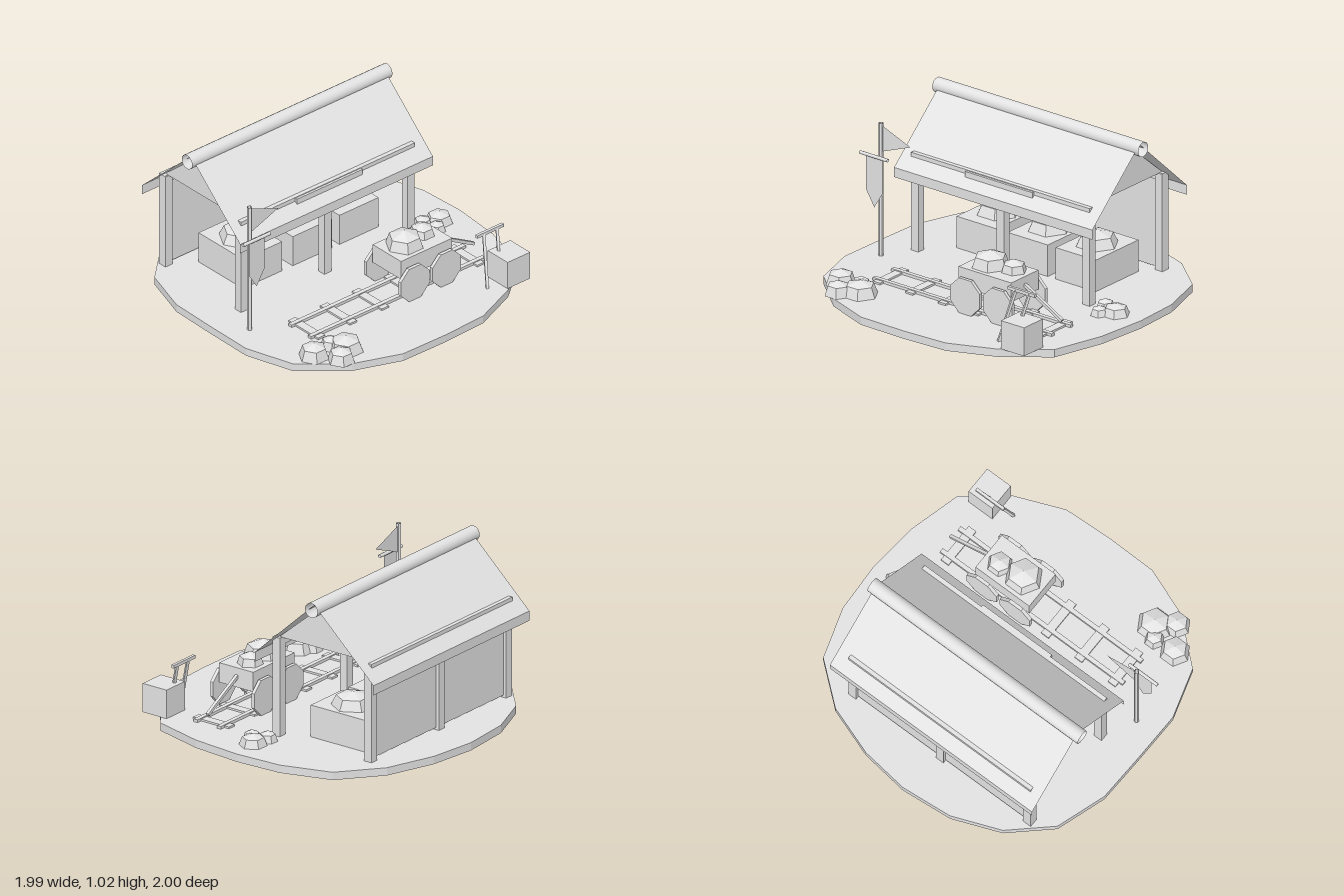
import * as THREE from 'three';

export function createModel() {
  const model = new THREE.Group();
  model.name = 'minersShed';
  const grey = new THREE.MeshStandardMaterial({ color: 0xe3e3e3, side: THREE.DoubleSide });
  grey.name = 'pale grey';

  const add = (name, geometry, x = 0, y = 0, z = 0) => {
    const mesh = new THREE.Mesh(geometry, grey);
    mesh.name = name;
    mesh.position.set(x, y, z);
    model.add(mesh);
    return mesh;
  };
  // Box given by its limits on each axis
  const box = (name, x0, x1, y0, y1, z0, z1) =>
    add(name, new THREE.BoxGeometry(x1 - x0, y1 - y0, z1 - z0),
      (x0 + x1) / 2, (y0 + y1) / 2, (z0 + z1) / 2);
  // Square bar between two points
  const bar = (name, a, b, size) => {
    const from = new THREE.Vector3(...a), to = new THREE.Vector3(...b);
    const mesh = add(name, new THREE.BoxGeometry(size, size, from.distanceTo(to)));
    mesh.position.copy(from).add(to).multiplyScalar(0.5);
    mesh.lookAt(to);
  };
  const outline = (points) => new THREE.Shape(points.map(([x, y]) => new THREE.Vector2(x, y)));
  const faceted = (geometry) => {
    const flat = geometry.toNonIndexed();
    flat.computeVertexNormals();
    return flat;
  };
  // Faceted six-sided lump
  const rock = (name, x, y, z, r, h) => {
    const profile = [[r, 0], [r * 0.77, h * 0.7], [0, h]].map(([a, b]) => new THREE.Vector2(a, b));
    add(name, faceted(new THREE.LatheGeometry(profile, 6).rotateY(Math.PI / 2)), x, y, z);
  };

  // Ground slab with twenty slightly uneven sides
  const rim = [[0, -1], [0.31, -0.96], [0.625, -0.85], [0.88, -0.64], [0.98, -0.32],
    [0.995, -0.01], [0.965, 0.32], [0.875, 0.655], [0.615, 0.86], [0.31, 0.985],
    [0, 1], [-0.33, 0.995], [-0.635, 0.88], [-0.9, 0.65], [-0.995, 0.335],
    [-0.99, 0], [-0.98, -0.31], [-0.875, -0.63], [-0.635, -0.85], [-0.33, -0.97]];
  add('ground', new THREE.ExtrudeGeometry(outline(rim), { depth: 0.05, bevelEnabled: false })
    .rotateX(Math.PI / 2), 0, 0.05, 0);

  // Shed frame
  for (const x of [-0.722, -0.065, 0.592]) {
    box('frontPost', x - 0.028, x + 0.028, 0.045, 0.678, -0.043, 0.01);
    box('backPost', x - 0.028, x + 0.028, 0.045, 0.678, -0.73, -0.673);
  }
  box('frontBeam', -0.75, 0.62, 0.63, 0.68, -0.04, 0.01);
  box('backBeam', -0.75, 0.62, 0.63, 0.68, -0.732, -0.68);
  box('signBoard', -0.323, 0.195, 0.625, 0.675, 0.008, 0.026);
  box('backWall', -0.722, 0.592, 0.065, 0.67, -0.71, -0.69);

  // Gables
  for (const x of [-0.722, 0.592]) {
    const gable = add('gable', new THREE.ShapeGeometry(outline([[0.018, 0.677], [0.709, 0.677], [0.363, 0.968]])), x);
    gable.rotation.y = Math.PI / 2;
  }

  // Thin roof sheets with hanging eaves, plus an open ridge tube
  const ridgeZ = -0.362, ridgeY = 0.995, run = 0.445, drop = 0.408, length = 1.52;
  for (const s of [1, -1]) {
    const sheet = add('roofSheet', new THREE.PlaneGeometry(length, Math.hypot(run, drop)),
      -0.06, ridgeY - drop / 2, ridgeZ + s * run / 2);
    sheet.rotation.order = 'YXZ';
    sheet.rotation.set(-Math.atan2(run, drop), s > 0 ? 0 : Math.PI, 0);
    const eave = add('eaveBoard', new THREE.PlaneGeometry(length, 0.062), -0.06, 0.556, ridgeZ + s * run);
    eave.rotation.y = s > 0 ? 0 : Math.PI;
  }
  add('ridgeTube', new THREE.CylinderGeometry(0.047, 0.047, 1.58, 16, 1, true)
    .rotateZ(Math.PI / 2), -0.062, 0.969, ridgeZ);

  // Ore bins
  for (const x of [-0.408, -0.016, 0.352]) {
    box('oreBin', x - 0.154, x + 0.154, 0.05, 0.253, -0.59, -0.187);
    rock('binOre', x, 0.25, -0.388, 0.135, 0.093);
  }

  // Track
  for (let i = 0; i < 6; i++) {
    const x = -0.58 + i * 0.251;
    box('trackTie', x - 0.028, x + 0.028, -0.001, 0.062, 0.275, 0.544);
  }
  for (const z of [0.323, 0.498]) box('rail', -0.635, 0.738, 0.05, 0.068, z - 0.014, z + 0.014);

  // Mine cart
  box('cartBody', 0.048, 0.452, 0.205, 0.33, 0.286, 0.542);
  for (const x of [0.127, 0.377]) for (const z of [0.258, 0.568]) {
    add('cartWheel', faceted(new THREE.CylinderGeometry(0.122, 0.122, 0.022, 8)
      .rotateY(Math.PI / 8).rotateX(Math.PI / 2)), x, 0.165, z);
  }
  bar('cartHandle', [0.44, 0.28, 0.41], [0.735, 0.118, 0.41], 0.02);
  rock('cartOre', 0.188, 0.31, 0.413, 0.125, 0.123);
  rock('cartOre', 0.348, 0.31, 0.388, 0.085, 0.098);

  // Loose rocks: x, z, radius, height
  for (const [x, z, r, h] of [[-0.75, 0.67, 0.095, 0.095], [-0.607, 0.655, 0.063, 0.08],
    [-0.552, 0.73, 0.112, 0.095], [-0.657, 0.81, 0.085, 0.09],
    [0.818, 0.005, 0.086, 0.072], [0.743, 0.07, 0.056, 0.058], [0.713, -0.025, 0.06, 0.065]]) {
    rock('looseRock', x, 0.05, z, r, h);
  }

  // Flag pole with pennant, crossbar and hanging banner
  add('flagPole', faceted(new THREE.CylinderGeometry(0.016, 0.016, 0.855, 6, 1, true)), -0.836, 0.477, 0.186);
  add('pennant', new THREE.ShapeGeometry(outline([[-0.83, 0.72], [-0.61, 0.805], [-0.83, 0.89]])), 0, 0, 0.186);
  add('bannerBar', new THREE.CylinderGeometry(0.011, 0.011, 0.215, 8, 1, true)
    .rotateZ(Math.PI / 2), -0.838, 0.708, 0.25);
  add('banner', new THREE.ShapeGeometry(outline([[-0.898, 0.7], [-0.898, 0.48], [-0.836, 0.38],
    [-0.774, 0.48], [-0.774, 0.7]])), 0, 0, 0.25);

  // Supply crate and tool rack leaning beside it
  box('supplyCrate', 0.622, 0.8, 0.05, 0.233, 0.668, 0.848);
  box('rackBar', 0.533, 0.742, 0.355, 0.375, 0.658, 0.677);
  bar('rackLeg', [0.59, 0.365, 0.668], [0.53, 0.01, 0.775], 0.017);
  bar('rackLeg', [0.695, 0.365, 0.668], [0.635, 0.01, 0.775], 0.017);

  return model;
}
